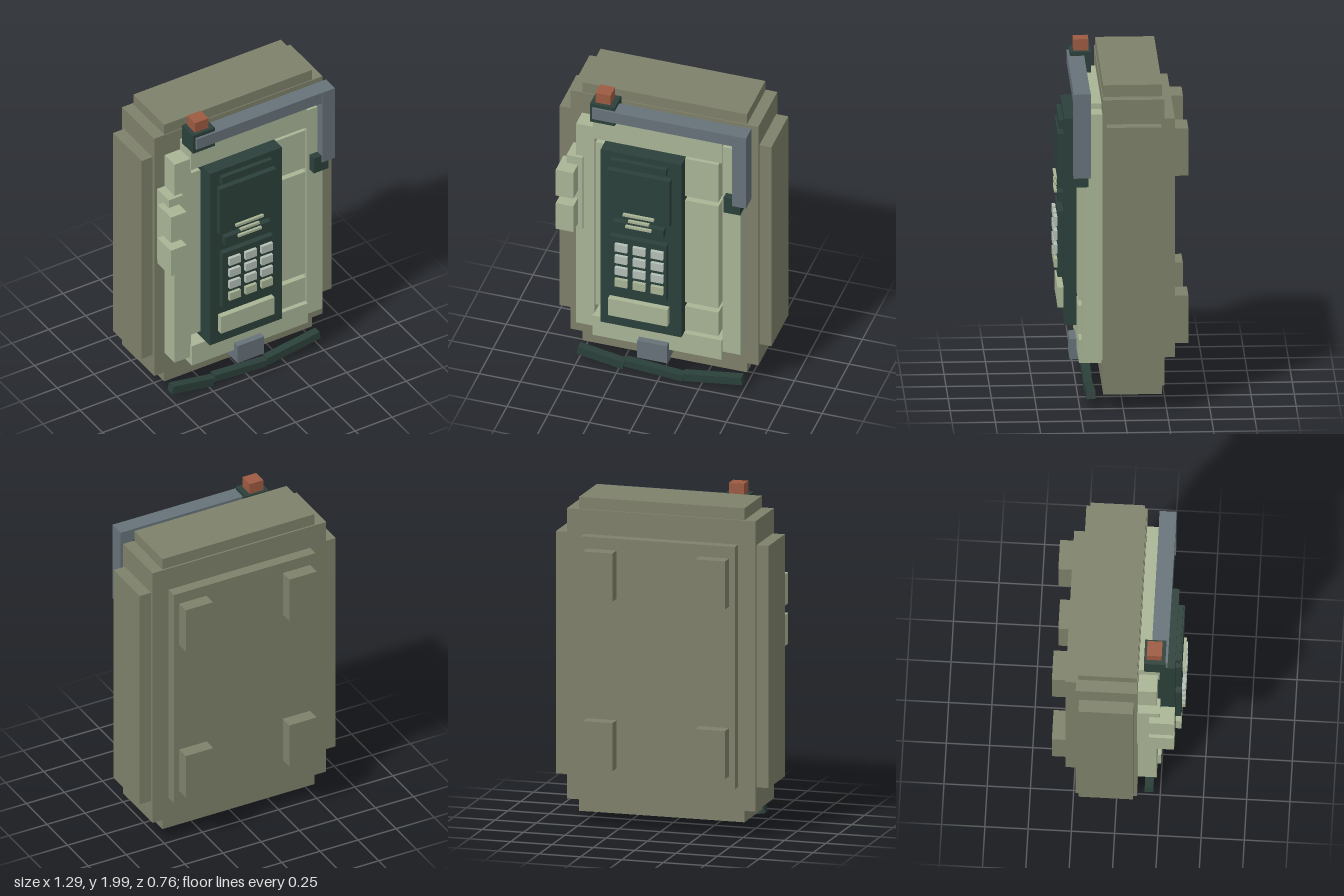
import * as THREE from 'three';

const material = (name, color) => {
  const m = new THREE.MeshStandardMaterial({ color });
  m.name = name;
  return m;
};

export function createModel() {
  const olive = material('olive', 0x7e816a);
  const sage = material('sage', 0xa9b596);
  const dark = material('dark green', 0x2b403a);
  const slate = material('slate', 0x667279);
  const rust = material('rust', 0x9c5a41);
  const pale = material('pale grey', 0xb4c0b6);

  const model = new THREE.Group();
  model.name = 'wallPhone';

  // box given by its extents along each axis
  const box = (name, mat, [x0, x1], [y0, y1], [z0, z1]) => {
    const mesh = new THREE.Mesh(new THREE.BoxGeometry(x1 - x0, y1 - y0, z1 - z0), mat);
    mesh.position.set((x0 + x1) / 2, (y0 + y1) / 2, (z0 + z1) / 2);
    mesh.name = name;
    model.add(mesh);
    return mesh;
  };

  // stepped housing
  box('housing', olive, [-0.57, 0.57], [0.16, 1.88], [-0.235, 0.12]);
  box('housingEnds', olive, [-0.5, 0.5], [0.09, 1.95], [-0.225, 0.115]);
  box('housingSides', olive, [-0.643, 0.643], [0.3, 1.735], [-0.215, 0.1]);
  box('backPlate', olive, [-0.465, 0.465], [0.3, 1.735], [-0.3, -0.23]);

  // wall mounts
  for (const x of [-0.43, 0.25])
    for (const y of [0.375, 1.38])
      box('wallMount', olive, [x, x + 0.18], [y, y + 0.285], [-0.38, -0.295]);

  // front frame
  box('frameRight', sage, [-0.5, -0.39], [0.3, 1.735], [0.115, 0.23]);
  box('frameLeft', sage, [0.39, 0.5], [0.3, 1.775], [0.115, 0.235]);
  box('frameTop', sage, [-0.395, 0.39], [1.66, 1.81], [0.115, 0.24]);
  box('frameBottom', sage, [-0.395, 0.39], [0.25, 0.39], [0.115, 0.25]);

  // inner panels around the console
  box('sidePanel', sage, [-0.385, -0.3], [0.45, 1.62], [0.115, 0.22]);
  for (const y of [[1.385, 1.655], [0.62, 1.355], [0.42, 0.59]])
    box('doorPanel', sage, [0.16, 0.372], y, [0.115, 0.255]);

  // console with display, slots, keypad and tray
  box('console', dark, [-0.32, 0.17], [0.415, 1.657], [0.115, 0.325]);
  box('upperSlot', dark, [-0.255, 0.085], [1.57, 1.62], [0.32, 0.352]);
  box('display', dark, [-0.272, 0.11], [1.22, 1.547], [0.32, 0.36]);
  box('lowerSlot', dark, [-0.238, 0.073], [1.13, 1.185], [0.32, 0.36]);
  box('displayLine', sage, [-0.17, 0.017], [1.246, 1.262], [0.355, 0.376]);
  box('displayLine', sage, [-0.138, -0.013], [1.206, 1.221], [0.32, 0.376]);
  box('displayLine', sage, [-0.155, 0.002], [1.165, 1.18], [0.355, 0.376]);
  box('tray', sage, [-0.265, 0.097], [0.5, 0.62], [0.32, 0.36]);
  box('keypad', dark, [-0.255, 0.09], [0.68, 1.075], [0.32, 0.36]);
  for (let row = 0; row < 4; row++)
    for (let col = 0; col < 3; col++) {
      const x = -0.218 + col * 0.109, y = 0.985 - row * 0.084;
      box('key', row < 3 ? pale : sage, [x, x + 0.075], [y, y + 0.052], [0.355, 0.38]);
    }

  // bent arm with its cradles and beacon
  box('armTop', slate, [-0.385, 0.55], [1.835, 1.91], [0.19, 0.287]);
  box('armSide', slate, [0.465, 0.55], [1.405, 1.91], [0.189, 0.288]);
  box('armBase', dark, [-0.402, -0.252], [1.803, 1.932], [0.15, 0.273]);
  box('armTip', dark, [0.412, 0.512], [1.342, 1.45], [0.2, 0.281]);
  box('beacon', rust, [-0.375, -0.284], [1.92, 2], [0.165, 0.252]);

  // side clip with two knobs
  box('clipPlate', sage, [-0.552, -0.455], [0.995, 1.51], [0.115, 0.25]);
  for (const y of [1.03, 1.27])
    box('clipKnob', sage, [-0.59, -0.483], [y, y + 0.185], [0.19, 0.335]);

  // cable socket and hanging cable
  box('cableSocket', slate, [-0.11, 0.07], [0.18, 0.302], [0.168, 0.29]);
  for (const [x, y, length, thick, degrees] of [
    [-0.36, 0.06, 0.285, 0.052, -10],
    [-0.037, 0.042, 0.355, 0.045, -4.5],
    [0.32, 0.063, 0.36, 0.05, 8.3],
  ]) {
    const part = box('cableSegment', dark,
      [x - length / 2, x + length / 2], [y - thick / 2, y + thick / 2], [0.16, 0.21]);
    part.rotation.z = THREE.MathUtils.degToRad(degrees);
  }

  return model;
}
